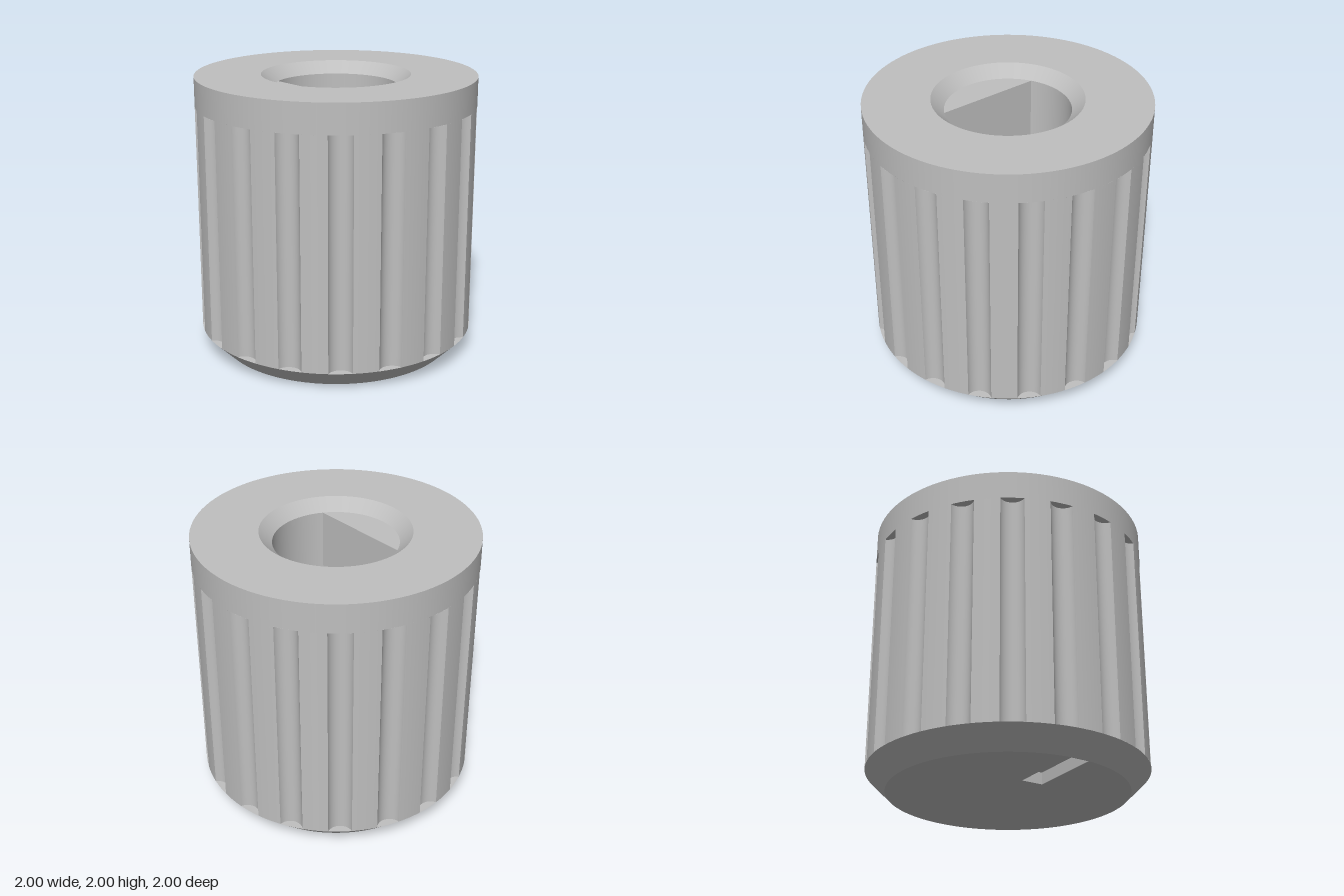
import * as THREE from 'three';

const PI = Math.PI;
const grey = new THREE.MeshStandardMaterial({ color: 0xbfbfbf, side: THREE.DoubleSide });
grey.name = 'grey plastic';

function add(parent, name, geometry, x = 0, y = 0, z = 0) {
  const mesh = new THREE.Mesh(geometry, grey);
  mesh.name = name;
  mesh.position.set(x, y, z);
  parent.add(mesh);
  return mesh;
}

// Open cylinder wall between two heights
function wall(parent, name, rTop, rBottom, y0, y1, start = 0, length = 2 * PI, segments = 96, x = 0) {
  const g = new THREE.CylinderGeometry(rTop, rBottom, y1 - y0, segments, 1, true, start, length);
  return add(parent, name, g, x, (y0 + y1) / 2);
}

// Flat face from a shape, lying level and facing up or down
function level(shape, up = true) {
  return new THREE.ShapeGeometry(shape, 48).rotateX(up ? -PI / 2 : PI / 2);
}

export function createModel() {
  const knob = new THREE.Group();
  knob.name = 'knob';

  const gripLow = 0.145, gripHigh = 1.79;
  const baseR = 0.855;

  // Bevelled base and smooth band at the open end
  wall(knob, 'baseBevel', 1, baseR, 0, gripLow);
  wall(knob, 'rimBand', 1, 1, gripHigh, 2);

  // Grip: eighteen concave flutes with lands between them
  const count = 18, step = 2 * PI / count;
  const halfWidth = 0.083, floorR = 0.94;
  const half = Math.asin(halfWidth);
  const sag = Math.cos(half) - floorR;
  const fluteR = (halfWidth ** 2 + sag ** 2) / (2 * sag);
  const fluteX = floorR + fluteR;
  const spread = Math.asin(halfWidth / fluteR);

  const crescent = new THREE.Shape();
  crescent.absarc(0, 0, 1, -half, half, false);
  crescent.absarc(fluteX, 0, fluteR, PI - spread, PI + spread, false);
  const endUp = level(crescent), endDown = level(crescent, false);

  const grip = new THREE.Group();
  grip.name = 'grip';
  knob.add(grip);
  for (let i = 0; i < count; i++) {
    const sector = new THREE.Group();
    sector.name = 'gripSector';
    sector.rotation.y = i * step;
    wall(sector, 'flute', fluteR, fluteR, gripLow, gripHigh, -PI / 2 - spread, 2 * spread, 16, fluteX);
    wall(sector, 'land', 1, 1, gripLow, gripHigh, PI / 2 + half, step - 2 * half, 8);
    add(sector, 'fluteLowerEnd', endUp, 0, gripLow);
    add(sector, 'fluteUpperEnd', endDown, 0, gripHigh);
    grip.add(sector);
  }

  // Top face and countersunk mouth of the shaft hole
  const boreR = 0.44, mouthR = 0.53, mouthY = 1.915, boreFloor = 0.6, flatZ = 0.215;
  add(knob, 'topFace', new THREE.RingGeometry(mouthR, 1, 96).rotateX(-PI / 2), 0, 2);
  wall(knob, 'holeBevel', mouthR, boreR, mouthY, 2);

  // D-shaped shaft hole: round wall, flat wall, ledge and floor
  const theta = Math.acos(flatZ / boreR), alpha = PI / 2 - theta;
  wall(knob, 'holeRoundWall', boreR, boreR, boreFloor, mouthY, theta, 2 * PI - 2 * theta, 72);
  const flat = new THREE.PlaneGeometry(2 * boreR * Math.sin(theta), mouthY - boreFloor).rotateY(PI);
  add(knob, 'holeFlatWall', flat, 0, (mouthY + boreFloor) / 2, flatZ);
  const ledge = new THREE.Shape();
  ledge.absarc(0, 0, boreR, PI + alpha, 2 * PI - alpha, false);
  add(knob, 'holeLedge', level(ledge), 0, mouthY);
  const floor = new THREE.Shape();
  floor.absarc(0, 0, boreR, -alpha, PI + alpha, false);
  add(knob, 'holeFloor', level(floor), 0, boreFloor);

  // Closed face with the pointer slot cut into it
  const slotW = 0.16, slotA = 0.31, slotB = 0.85, slotDepth = 0.085;
  const face = new THREE.Shape();
  face.absarc(0, 0, baseR, 0, 2 * PI, false);
  const cut = new THREE.Path();
  cut.moveTo(-slotW / 2, slotA);
  cut.lineTo(-slotW / 2, slotB);
  cut.lineTo(slotW / 2, slotB);
  cut.lineTo(slotW / 2, slotA);
  cut.closePath();
  face.holes.push(cut);
  add(knob, 'bottomFace', level(face, false));

  // Slot walls and floor: a box without its lower face
  const slot = new THREE.BoxGeometry(slotW, slotDepth, slotB - slotA);
  slot.setIndex(Array.from(slot.index.array).filter((_, i) => i < 18 || i >= 24));
  slot.clearGroups();
  add(knob, 'pointerSlot', slot, 0, slotDepth / 2, (slotA + slotB) / 2);

  return knob;
}
